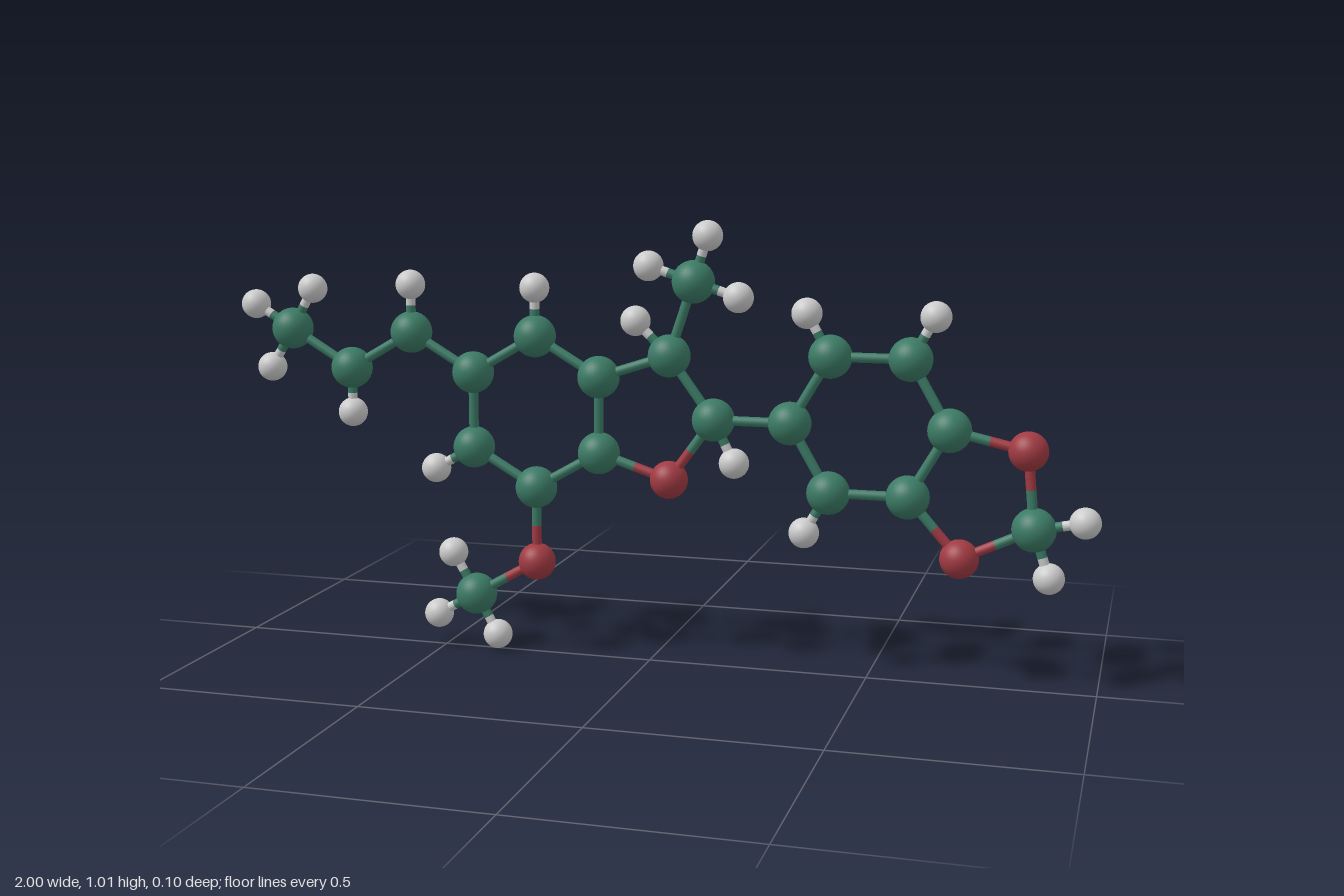
import * as THREE from 'three';

const carbon = { label: 'carbon', radius: 0.048, material: new THREE.MeshStandardMaterial({ color: 0x3b7a65 }) };
const oxygen = { label: 'oxygen', radius: 0.043, material: new THREE.MeshStandardMaterial({ color: 0xa03a42 }) };
const hydrogen = { label: 'hydrogen', radius: 0.034, material: new THREE.MeshStandardMaterial({ color: 0xcccccc }) };
const BOND_RADIUS = 0.011;

// Heavy atoms: [x, y]
const carbons = {
  tailEnd: [-0.874, 0.743], tailMid: [-0.725, 0.655], tailStart: [-0.573, 0.743],
  a1: [-0.422, 0.655], a2: [-0.271, 0.743], a3: [-0.12, 0.655],
  a4: [-0.12, 0.481], a5: [-0.271, 0.394], a6: [-0.422, 0.481],
  f1: [0.045, 0.709], f2: [0.147, 0.569], methyl: [0.1, 0.875],
  b1: [0.32, 0.569], b2: [0.408, 0.72], b3: [0.583, 0.72],
  b4: [0.67, 0.569], b5: [0.583, 0.418], b6: [0.408, 0.418],
  bridge: [0.855, 0.362], methoxy: [-0.422, 0.132],
};
const oxygens = {
  furanO: [0.045, 0.428], upperO: [0.838, 0.532], lowerO: [0.698, 0.288], methoxyO: [-0.271, 0.219],
};

// Hydrogens, listed under the carbon that carries them
const hydrogens = {
  tailEnd: [[-0.967, 0.798], [-0.82, 0.838], [-0.93, 0.65]],
  tailMid: [[-0.725, 0.55]],
  tailStart: [[-0.573, 0.853]],
  a2: [[-0.271, 0.853]],
  a6: [[-0.517, 0.427]],
  methoxy: [[-0.478, 0.228], [-0.517, 0.078], [-0.37, 0.038]],
  f1: [[-0.033, 0.785]],
  methyl: [[-0.003, 0.908], [0.132, 0.977], [0.202, 0.843]],
  f2: [[0.195, 0.473]],
  b2: [[0.355, 0.813]],
  b3: [[0.635, 0.813]],
  b6: [[0.355, 0.325]],
  bridge: [[0.962, 0.383], [0.89, 0.257]],
};

// Chains of bonded atoms; rings return to their first atom
const chains = [
  'tailEnd tailMid tailStart a1',
  'a1 a2 a3 a4 a5 a6 a1',
  'a3 f1 f2 furanO a4',
  'f1 methyl',
  'f2 b1',
  'b1 b2 b3 b4 b5 b6 b1',
  'b4 upperO bridge lowerO b5',
  'a5 methoxyO methoxy',
];

export function createModel() {
  const model = new THREE.Group();
  model.name = 'molecule';
  const atoms = new THREE.Group();
  atoms.name = 'atoms';
  const bonds = new THREE.Group();
  bonds.name = 'bonds';
  model.add(atoms, bonds);

  const sphere = new THREE.SphereGeometry(1, 32, 20);
  const rod = new THREE.CylinderGeometry(BOND_RADIUS, BOND_RADIUS, 1, 16, 1, true);
  const up = new THREE.Vector3(0, 1, 0);

  function addAtom(kind, [x, y]) {
    const mesh = new THREE.Mesh(sphere, kind.material);
    mesh.name = kind.label + 'Atom';
    mesh.position.set(x, y, 0);
    mesh.scale.setScalar(kind.radius);
    atoms.add(mesh);
    return { kind, position: mesh.position };
  }

  // Half of a bond, in the colour of the atom it starts from
  function addHalf(kind, from, to) {
    const along = to.clone().sub(from);
    const mesh = new THREE.Mesh(rod, kind.material);
    mesh.name = kind.label + 'BondHalf';
    mesh.position.copy(from).add(to).multiplyScalar(0.5);
    mesh.scale.y = along.length();
    mesh.quaternion.setFromUnitVectors(up, along.normalize());
    bonds.add(mesh);
  }

  // The two colours meet midway between the visible sphere surfaces
  function addBond(a, b) {
    const length = a.position.distanceTo(b.position);
    const t = 0.5 + (a.kind.radius - b.kind.radius) / (2 * length);
    const middle = a.position.clone().lerp(b.position, t);
    addHalf(a.kind, a.position, middle);
    addHalf(b.kind, b.position, middle);
  }

  const skeleton = {};
  for (const [key, at] of Object.entries(carbons)) skeleton[key] = addAtom(carbon, at);
  for (const [key, at] of Object.entries(oxygens)) skeleton[key] = addAtom(oxygen, at);

  for (const chain of chains) {
    const keys = chain.split(' ');
    for (let i = 1; i < keys.length; i++) addBond(skeleton[keys[i - 1]], skeleton[keys[i]]);
  }
  for (const [key, places] of Object.entries(hydrogens)) {
    for (const at of places) addBond(skeleton[key], addAtom(hydrogen, at));
  }
  return model;
}
